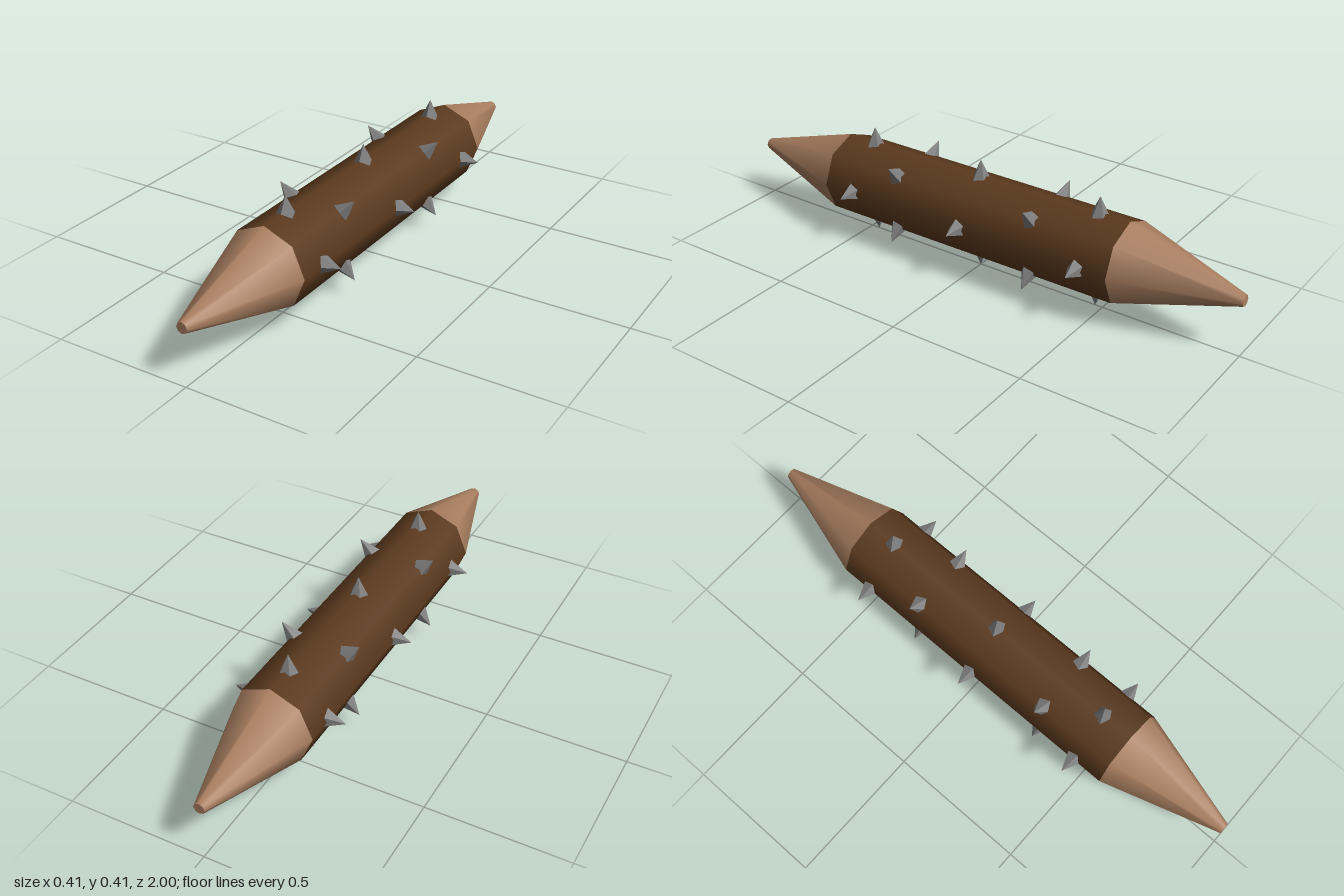
import * as THREE from 'three';

const AXIS_Y = 0.207; // height of the shaft's centre line
const RADIUS = 0.148;
const HALF = 0.585; // half length of the dark shaft
const SPIKE_TIP = 0.206; // distance of spike tips from the centre line
const SPIKE_H = 0.09;

function material(name, color) {
  const m = new THREE.MeshStandardMaterial({ color });
  m.name = name;
  return m;
}

export function createModel() {
  const model = new THREE.Group();
  model.name = 'spikedClub';
  const darkWood = material('dark wood', 0x5c3a1e);
  const paleWood = material('pale wood', 0xaa7f60);
  const steel = material('steel', 0x808080);
  steel.flatShading = true;

  const core = new THREE.Group();
  core.name = 'core';
  core.position.y = AXIS_Y;
  model.add(core);

  const add = (name, geometry, mat, parent = core) => {
    const mesh = new THREE.Mesh(geometry, mat);
    mesh.name = name;
    parent.add(mesh);
    return mesh;
  };

  // Eight-sided shaft with smooth sides
  add('shaft', new THREE.CylinderGeometry(RADIUS, RADIUS, HALF * 2, 8, 1, true).rotateX(Math.PI / 2), darkWood);

  // Tapered points with small blunt tips
  for (const side of [1, -1]) {
    const length = 1 - HALF;
    const taper = new THREE.CylinderGeometry(0.02, RADIUS, length, 8)
      .rotateX(side * Math.PI / 2)
      .translate(0, 0, side * (HALF + length / 2));
    add(side > 0 ? 'frontPoint' : 'backPoint', taper, paleWood);
  }

  // Rings of four five-sided spikes, alternately straight and diagonal
  const spike = new THREE.ConeGeometry(0.042, SPIKE_H, 5).translate(0, SPIKE_TIP - SPIKE_H / 2, 0);
  const rings = [[0.467, 0], [0.29, 1], [0, 0], [-0.268, 1], [-0.472, 0]];
  rings.forEach(([z, diagonal], i) => {
    const ring = new THREE.Group();
    ring.name = `spikeRing${i + 1}`;
    ring.position.z = z;
    core.add(ring);
    for (let k = 0; k < 4; k++) {
      add('spike', spike, steel, ring).rotation.z = (k + diagonal / 2) * Math.PI / 2;
    }
  });

  return model;
}
